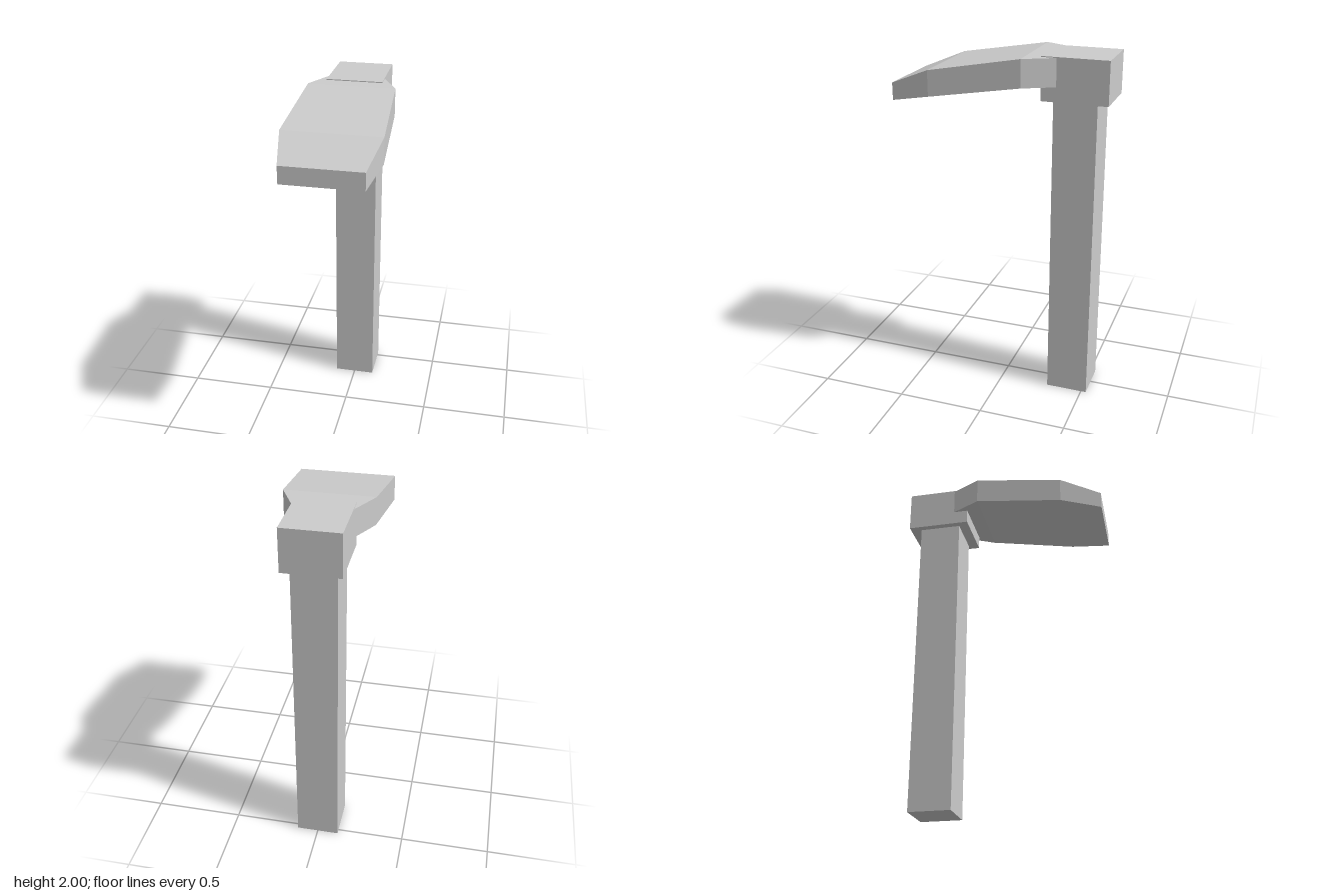
import * as THREE from 'three';

const grey = new THREE.MeshStandardMaterial({ color: 0xcccccc });
grey.name = 'light grey';

// Box given by its lower and upper corners
function block(name, [x0, y0, z0], [x1, y1, z1]) {
  const geometry = new THREE.BoxGeometry(x1 - x0, y1 - y0, z1 - z0);
  geometry.translate((x0 + x1) / 2, (y0 + y1) / 2, (z0 + z1) / 2);
  const mesh = new THREE.Mesh(geometry, grey);
  mesh.name = name;
  return mesh;
}

// Closed loft through rectangular sections [z, halfWidth, bottom, top], back to front
function loft(name, sections) {
  const positions = [];
  const index = [];
  for (const [z, w, bottom, top] of sections) {
    positions.push(-w, bottom, z, w, bottom, z, w, top, z, -w, top, z);
  }
  for (let s = 0; s < sections.length - 1; s++) {
    for (let i = 0; i < 4; i++) {
      const a = s * 4 + i;
      const b = s * 4 + ((i + 1) % 4);
      index.push(a, b, b + 4, a, b + 4, a + 4);
    }
  }
  const e = (sections.length - 1) * 4;
  index.push(0, 2, 1, 0, 3, 2, e, e + 1, e + 2, e, e + 2, e + 3);

  const indexed = new THREE.BufferGeometry();
  indexed.setAttribute('position', new THREE.Float32BufferAttribute(positions, 3));
  indexed.setIndex(index);
  const geometry = indexed.toNonIndexed(); // separate faces for flat normals
  geometry.computeVertexNormals();
  const mesh = new THREE.Mesh(geometry, grey);
  mesh.name = name;
  return mesh;
}

export function createModel() {
  const model = new THREE.Group();
  model.name = 'postWithArm';

  // Square upright and the block capping it
  model.add(block('post', [-0.12, 0, -0.53], [0.12, 1.763, -0.29]));
  model.add(block('capBlock', [-0.156, 1.763, -0.595], [0.156, 2, -0.231]));

  // Drooping arm, its narrow end set into the block
  model.add(loft('arm', [
    [-0.34, 0.143, 1.843, 1.995],
    [-0.148, 0.241, 1.843, 1.995],
    [0.362, 0.266, 1.763, 1.906],
    [0.595, 0.218, 1.714, 1.811],
  ]));

  return model;
}
